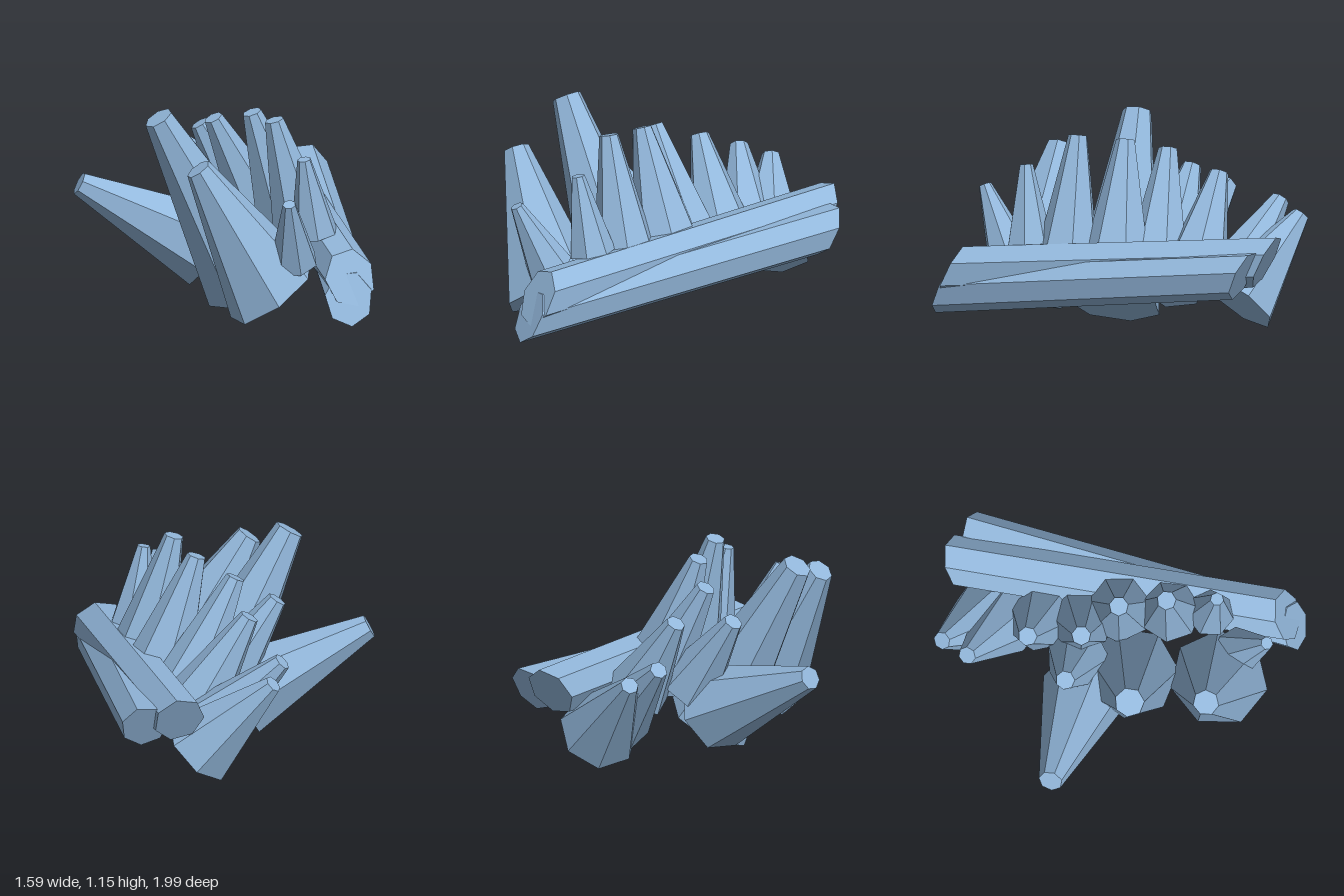
import * as THREE from 'three';

const SIDES = 7;

// Tapered prism from base to tip, one corner turned downward.
// spin turns the ring about its axis in degrees;
// skew slides each end cap along the axis by height
function crystal(name, material, base, tip, baseRadius, tipRadius, spin = 0, skew = 0) {
  const a = new THREE.Vector3(...base);
  const b = new THREE.Vector3(...tip);
  const axis = b.clone().sub(a);
  const length = axis.length();
  axis.normalize();

  // the first corner of the ring lies along local z
  const down = new THREE.Vector3(0, -1, 0).addScaledVector(axis, axis.y).normalize();
  const side = new THREE.Vector3().crossVectors(axis, down);
  const geometry = new THREE.CylinderGeometry(tipRadius, baseRadius, length, SIDES);
  geometry.rotateY(THREE.MathUtils.degToRad(spin));
  geometry.applyMatrix4(new THREE.Matrix4().makeBasis(side, axis, down));

  if (skew) {
    const pos = geometry.attributes.position;
    const p = new THREE.Vector3();
    for (let i = 0; i < pos.count; i++) {
      p.fromBufferAttribute(pos, i);
      const rise = p.y - axis.y * p.dot(axis);
      p.addScaledVector(axis, skew * rise);
      pos.setXYZ(i, p.x, p.y, p.z);
    }
    geometry.computeVertexNormals();
  }

  const mid = a.add(b).multiplyScalar(0.5);
  geometry.translate(mid.x, mid.y, mid.z);
  const mesh = new THREE.Mesh(geometry, material);
  mesh.name = name;
  return mesh;
}

export function createModel() {
  const group = new THREE.Group();
  group.name = 'crystalCluster';
  const ice = new THREE.MeshStandardMaterial({ color: 0x93b8dc, flatShading: true });
  ice.name = 'iceBlue';

  // name, base centre, tip centre, base radius, tip radius, spin, skew
  const parts = [
    // large outer crystals
    ['largeSideCrystal', [-0.065, 0.29, -0.15], [-0.765, 0.66, -0.255], 0.24, 0.066, 13],
    ['largeMiddleCrystal', [0.105, 0.138, 0.08], [-0.42, 1.11, 0.135], 0.258, 0.082, -8, 0.1],
    ['largeFrontCrystal', [0.11, 0.2, 0.56], [-0.3, 0.92, 0.54], 0.272, 0.072, -17, 0.2],
    // upright row, front to back
    ['smallFrontCrystal', [0.21, 0.395, 0.65], [0.14, 0.765, 0.82], 0.132, 0.036, 25],
    ['uprightCrystal1', [0.37, 0.5, 0.48], [0.3, 0.93, 0.525], 0.13, 0.037],
    ['uprightCrystal2', [0.36, 0.48, 0.26], [0.2, 1.09, 0.26], 0.17, 0.053],
    ['uprightCrystal3', [0.35, 0.46, -0.02], [0.14, 1.07, 0.005], 0.187, 0.053],
    ['uprightCrystal4', [0.26, 0.42, -0.22], [-0.03, 1.0, -0.18], 0.175, 0.053],
    ['innerCrystal', [0.05, 0.42, -0.21], [-0.25, 0.87, -0.24], 0.175, 0.053],
    ['uprightCrystal5', [0.25, 0.41, -0.44], [-0.03, 0.89, -0.475], 0.178, 0.053],
    // leaning crystals at the back
    ['backCrystal1', [0.26, 0.31, -0.62], [-0.13, 0.745, -0.795], 0.19, 0.05],
    ['backCrystal2', [0.32, 0.25, -0.71], [-0.04, 0.685, -0.945], 0.222, 0.05, -17],
    // two long bars lying side by side
    ['longBarUpper', [0.465, 0.345, 0.89], [0.487, 0.525, -0.93], 0.14, 0.14, -13, 0.6],
    ['longBarLower', [0.447, 0.24, 0.935], [0.665, 0.475, -0.855], 0.132, 0.128, -4, 0.6],
  ];
  for (const [name, ...shape] of parts) {
    group.add(crystal(name, ice, ...shape));
  }
  return group;
}
